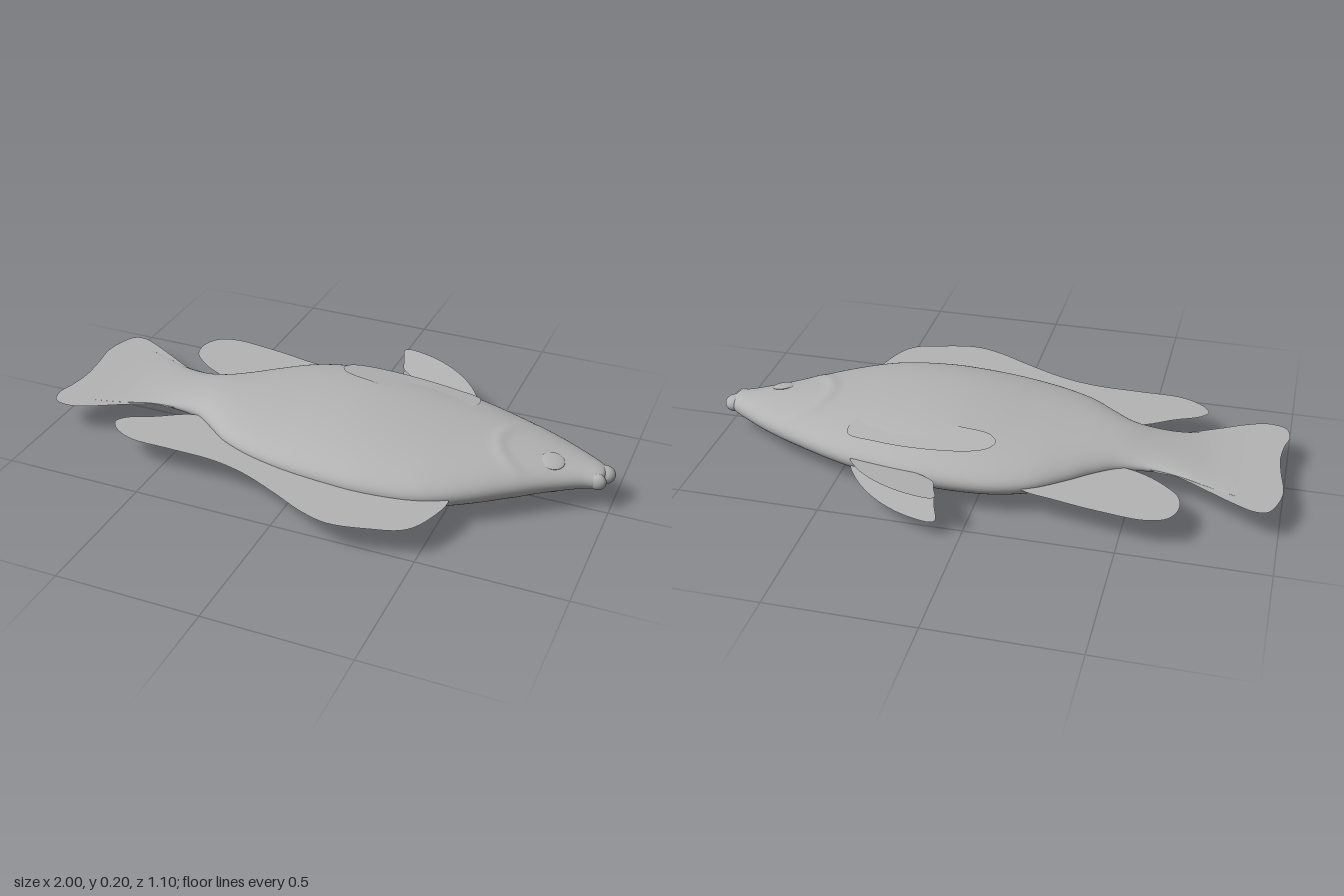
import * as THREE from 'three';

const MID = 0.103; // height of the plane of symmetry
const skin = new THREE.MeshStandardMaterial({ color: 0xb4b4b4, side: THREE.DoubleSide });
skin.name = 'greySkin';

// Body stations from tail to snout: x, edge z (upper side), edge z (lower side), half thickness
const STATIONS = [
  [-0.85, -0.24, 0.17, 0.002], [-0.75, -0.205, 0.145, 0.006], [-0.65, -0.168, 0.112, 0.018],
  [-0.55, -0.152, 0.105, 0.034], [-0.46, -0.166, 0.12, 0.052], [-0.38, -0.215, 0.175, 0.063],
  [-0.3, -0.28, 0.235, 0.071], [-0.2, -0.35, 0.28, 0.08], [-0.1, -0.386, 0.309, 0.088],
  [0, -0.398, 0.328, 0.096], [0.12, -0.397, 0.341, 0.102], [0.25, -0.384, 0.347, 0.101],
  [0.4, -0.354, 0.33, 0.094], [0.5, -0.325, 0.295, 0.087], [0.6, -0.287, 0.235, 0.08],
  [0.7, -0.245, 0.16, 0.071], [0.8, -0.198, 0.085, 0.059], [0.9, -0.14, 0.022, 0.044],
  [0.95, -0.108, 0.003, 0.034], [0.968, -0.09, -0.01, 0.022], [0.97, -0.055, -0.045, 0.002],
];

function buildBody() {
  const edges = new THREE.CatmullRomCurve3(STATIONS.map(s => new THREE.Vector3(s[0], s[1], s[2])), false, 'catmullrom');
  const thick = new THREE.CatmullRomCurve3(STATIONS.map(s => new THREE.Vector3(s[0], s[3], 0)), false, 'catmullrom');
  const rows = 160, cols = 96, pos = [], index = [];
  for (let i = 0; i <= rows; i++) {
    const e = edges.getPoint(i / rows), h = Math.max(0.001, thick.getPoint(i / rows).y);
    const centre = (e.y + e.z) / 2, half = (e.z - e.y) / 2;
    for (let j = 0; j < cols; j++) {
      const a = j / cols * Math.PI * 2, c = Math.cos(a), s = Math.sin(a);
      const z = centre + half * Math.sign(c) * Math.abs(c) ** 0.95;
      let y = h * Math.sign(s) * Math.abs(s) ** 0.95;
      // Gill cover: a soft raised rim behind the cheek
      const d = Math.hypot(e.x - 0.76, (z + 0.05) * 0.95) - 0.155;
      const fade = THREE.MathUtils.smoothstep(0.76 - e.x, 0.0, 0.08);
      y += s * 0.005 * fade * Math.exp(-((d / 0.022) ** 2));
      pos.push(e.x, MID + y, z);
    }
  }
  for (let i = 0; i < rows; i++) for (let j = 0; j < cols; j++) {
    const k = (j + 1) % cols, a = i * cols + j, b = a + cols, c = i * cols + k, d = c + cols;
    index.push(a, b, c, b, d, c);
  }
  const g = new THREE.BufferGeometry();
  g.setAttribute('position', new THREE.Float32BufferAttribute(pos, 3));
  g.setIndex(index);
  g.computeVertexNormals();
  return g;
}

// Thin fin from a smooth closed outline of [x, z] points, raised by height(x, z)
function buildFin(points, height = () => 0) {
  const curve = new THREE.CatmullRomCurve3(points.map(p => new THREE.Vector3(p[0], p[1], 0)), true, 'centripetal');
  const outline = curve.getPoints(90).slice(0, -1).map(p => new THREE.Vector2(p.x, p.y));
  const g = new THREE.ShapeGeometry(new THREE.Shape(outline));
  const p = g.attributes.position;
  for (let i = 0; i < p.count; i++) {
    const x = p.getX(i), z = p.getY(i);
    p.setXYZ(i, x, MID + height(x, z), z);
  }
  // Turn the faces upward
  const ix = g.index.array;
  for (let i = 0; i < ix.length; i += 3) [ix[i], ix[i + 1]] = [ix[i + 1], ix[i]];
  g.computeVertexNormals();
  return g;
}

export function createModel() {
  const model = new THREE.Group();
  model.name = 'fish';
  const add = (name, geometry) => {
    const m = new THREE.Mesh(geometry, skin);
    m.name = name;
    model.add(m);
    return m;
  };

  add('body', buildBody());

  // Fins lying in the plane of symmetry
  add('tailFin', buildFin([
    [-0.55, -0.148], [-0.65, -0.173], [-0.75, -0.228], [-0.85, -0.285], [-0.92, -0.315], [-0.96, -0.307],
    [-0.988, -0.25], [-1, -0.18], [-0.985, -0.07], [-0.977, 0.02], [-0.985, 0.1], [-1, 0.17],
    [-0.98, 0.225], [-0.92, 0.24], [-0.85, 0.218], [-0.75, 0.165], [-0.65, 0.117], [-0.55, 0.1],
  ]));
  add('analFin', buildFin([
    [-0.16, -0.363], [-0.3, -0.404], [-0.45, -0.432], [-0.58, -0.444], [-0.65, -0.42], [-0.68, -0.36],
    [-0.67, -0.29], [-0.62, -0.235], [-0.55, -0.188], [-0.47, -0.16], [-0.38, -0.17], [-0.2, -0.3],
  ]));
  add('dorsalFin', buildFin([
    [0.53, 0.27], [0.515, 0.39], [0.46, 0.485], [0.35, 0.525], [0.22, 0.547], [0.12, 0.52], [0, 0.46],
    [-0.15, 0.393], [-0.28, 0.362], [-0.45, 0.356], [-0.6, 0.35], [-0.68, 0.31], [-0.708, 0.265],
    [-0.68, 0.228], [-0.6, 0.19], [-0.46, 0.12], [-0.3, 0.18], [0, 0.28], [0.4, 0.27],
  ]));

  for (const side of [1, -1]) {
    const label = side > 0 ? 'upper' : 'lower';
    // Pelvic fins splay away from the belly
    add(label + 'PelvicFin', buildFin([
      [0.43, -0.34], [0.4, -0.395], [0.33, -0.463], [0.25, -0.512], [0.17, -0.542], [0.09, -0.552], [0.08, -0.54],
      [0.1, -0.48], [0.115, -0.435], [0.15, -0.405], [0.22, -0.375], [0.32, -0.345],
    ], (x, z) => side * (0.022 - 0.15 * (z + 0.39))));
    // Pectoral fins lie close along the flanks
    add(label + 'PectoralFin', buildFin([
      [-0.05, -0.25], [-0.035, -0.285], [0.02, -0.308], [0.12, -0.318], [0.25, -0.315], [0.36, -0.3],
      [0.46, -0.275], [0.47, -0.22], [0.44, -0.162], [0.32, -0.166], [0.2, -0.173], [0.08, -0.188], [-0.02, -0.212],
    ], (x, z) => side * (0.098 + 0.136 * (z + 0.17) - 0.05 * (x - 0.1))));
    // Shallow domed eyes tilted with the cheek
    const eye = add(label + 'Eye', new THREE.SphereGeometry(0.04, 32, 20));
    eye.scale.set(1, 0.17, 1);
    eye.rotation.set(side * 0.2, 0, -side * 0.15);
    eye.position.set(0.8, MID + side * 0.053, 0);
  }

  // Lips with a small gap for the mouth
  const lips = [['bellyLip', 0.962, -0.068, 0.037, 0.038], ['backLip', 0.95, -0.015, 0.03, 0.022]];
  for (const [name, x, z, rx, rz] of lips) {
    const lip = add(name, new THREE.SphereGeometry(1, 28, 20));
    lip.scale.set(rx, 0.029, rz);
    lip.position.set(x, MID, z);
  }
  return model;
}
